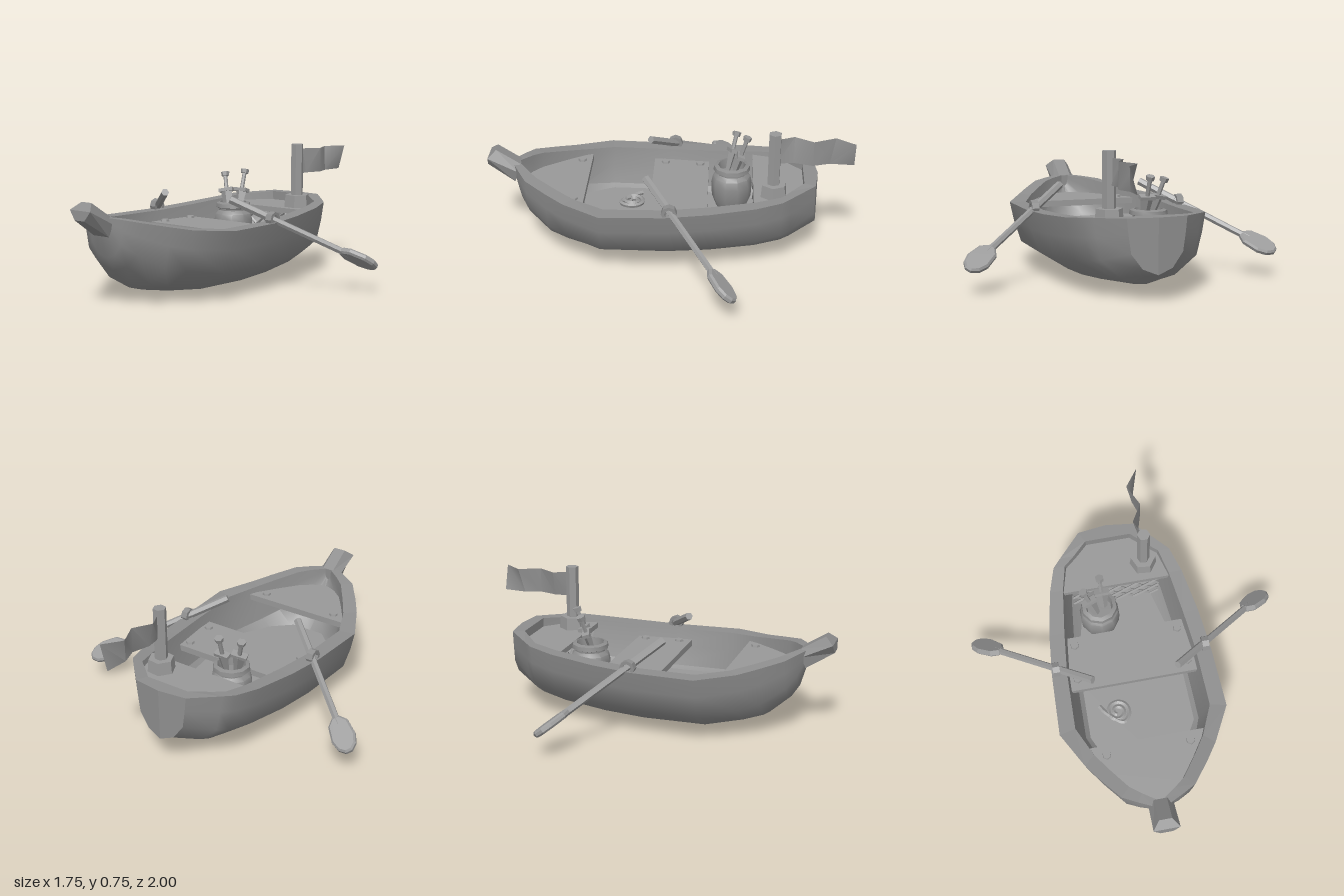
import * as THREE from 'three';
import { toCreasedNormals } from 'three/addons/utils/BufferGeometryUtils.js';

const flat = new THREE.MeshStandardMaterial({ color: 0x999999, flatShading: true });
const skin = new THREE.MeshStandardMaterial({ color: 0x8e8e8e, side: THREE.DoubleSide });
const thin = new THREE.MeshStandardMaterial({ color: 0x8e8e8e, flatShading: true, side: THREE.DoubleSide });
const V = (x, y, z) => new THREE.Vector3(x, y, z);

function add(parent, name, geo, mat = flat, pos = [0, 0, 0]) {
  const m = new THREE.Mesh(geo, mat);
  m.name = name;
  m.position.set(...pos);
  parent.add(m);
  return m;
}

// Surface through rows of points
function grid(rows) {
  const n = rows[0].length, index = [];
  for (let i = 0; i < rows.length - 1; i++)
    for (let j = 0; j < n - 1; j++) {
      const a = i * n + j, b = a + n;
      index.push(a, a + 1, b, a + 1, b + 1, b);
    }
  const g = new THREE.BufferGeometry().setFromPoints(rows.flat());
  g.setIndex(index);
  g.computeVertexNormals();
  return g;
}

// Fan of triangles from a centre point to a line of points
const fan = (c, pts) => grid([pts.map(() => c), pts]);

// Round bar between two points
function bar(parent, name, a, b, r, sides = 6) {
  const d = b.clone().sub(a);
  const m = add(parent, name, new THREE.CylinderGeometry(r, r, d.length(), sides));
  m.position.copy(a).addScaledVector(d, 0.5);
  m.quaternion.setFromUnitVectors(V(0, 1, 0), d.normalize());
}

// Horizontal board, symmetric in x, from [z, halfWidth] pairs
function board(parent, name, half, top, thick) {
  const pts = [...half, ...half.map(([z, w]) => [z, -w]).reverse()].map(([z, w]) => new THREE.Vector2(w, -z));
  const g = new THREE.ExtrudeGeometry(new THREE.Shape(pts), { depth: thick, bevelEnabled: false });
  g.rotateX(-Math.PI / 2);
  add(parent, name, g, flat, [0, top - thick, 0]);
}

// Hull stations: z, half width, rim height, keel height
const OUTER = [[-0.805, 0.16, 0.435, 0.145], [-0.67, 0.289, 0.424, 0.073], [-0.62, 0.335, 0.42, 0.06], [-0.48, 0.38, 0.405, 0.033],
  [-0.23, 0.425, 0.388, 0.009], [0, 0.45, 0.378, 0], [0.35, 0.465, 0.38, 0.008], [0.55, 0.36, 0.397, 0.045], [0.65, 0.292, 0.418, 0.072],
  [0.77, 0.2, 0.445, 0.18], [0.815, 0.12, 0.457, 0.25], [0.85, 0.05, 0.465, 0.37]];
const INNER = [[-0.745, 0.13, 0.435, 0.17], [-0.67, 0.21, 0.424, 0.13], [-0.62, 0.27, 0.42, 0.11], [-0.48, 0.305, 0.405, 0.08],
  [-0.23, 0.34, 0.388, 0.05], [0, 0.365, 0.378, 0.045], [0.33, 0.375, 0.38, 0.045], [0.5, 0.3, 0.397, 0.07], [0.6, 0.235, 0.418, 0.11],
  [0.72, 0.15, 0.445, 0.22], [0.77, 0.09, 0.457, 0.3], [0.82, 0.02, 0.465, 0.4]];
const PROFILE = [[1, 1], [0.95, 0.72], [0.86, 0.38], [0.5, 0.11], [0, 0], [-0.5, 0.11], [-0.86, 0.38], [-0.95, 0.72], [-1, 1]];
const section = ([z, w, top, keel], bulge = 0) =>
  PROFILE.map(([u, v]) => V(u * w, keel + v * (top - keel), z - bulge * (1 - Math.abs(u))));

function makeHull(root) {
  const hull = new THREE.Group();
  hull.name = 'hull';
  root.add(hull);
  const outer = OUTER.map((s, i) => section(s, i ? 0 : 0.02));
  const inner = INNER.map(s => section(s));
  add(hull, 'outerSkin', grid(outer), skin);
  add(hull, 'innerSkin', toCreasedNormals(grid(inner), 0.5), skin);
  add(hull, 'transom', fan(V(0, 0.435, -0.825), outer[0]), thin);
  add(hull, 'sternInside', fan(V(0, 0.435, -0.745), inner[0]), thin);
  add(hull, 'bowEnd', fan(V(0, 0.465, 0.85), outer.at(-1)), thin);
  // Gunwale strip running around the whole rim
  const loop = (secs, stern, bow) => {
    const side = k => secs.map(s => s.at(k));
    return [V(0, 0.465, bow), ...side(0).reverse(), V(0, 0.435, stern), ...side(-1), V(0, 0.465, bow)];
  };
  add(hull, 'gunwale', grid([loop(outer, -0.825, 0.85), loop(inner, -0.745, 0.82)]), thin);

  // Stem post: six-sided, narrow below, with a bevelled end
  const base = [[0.035, 0.468, 0.82], [0.068, 0.43, 0.83], [0.054, 0.367, 0.85]];
  const tip = [[0.035, 0.55, 0.95], [0.072, 0.512, 0.995], [0.034, 0.462, 1.0]];
  const ring = half => {
    const left = half.map(p => V(...p));
    return [...left, ...half.map(([x, y, z]) => V(-x, y, z)).reverse(), left[0]];
  };
  add(hull, 'stemPost', grid([ring(base), ring(tip)]), thin);
  add(hull, 'stemPostEnd', fan(V(0, 0.512, 0.995), ring(tip)), thin);
}

function makeDecks(root) {
  board(root, 'floor', [[-0.7, 0.12], [-0.47, 0.24], [0, 0.295], [0.33, 0.31], [0.45, 0.26], [0.6, 0.1]], 0.155, 0.02);
  board(root, 'sternDeck', [[-0.745, 0.135], [-0.62, 0.275], [-0.47, 0.31]], 0.385, 0.03);
  board(root, 'middleBench', [[-0.22, 0.345], [0.095, 0.37]], 0.32, 0.035);
  board(root, 'bowDeck', [[0.45, 0.33], [0.5, 0.305], [0.61, 0.23], [0.72, 0.152], [0.82, 0.02]], 0.362, 0.035);
  for (const s of [1, -1])
    for (const [x, y, z] of [[0.295, 0.324, -0.17], [0.312, 0.324, 0.03], [0.232, 0.366, 0.505]])
      add(root, 'bolt', new THREE.CylinderGeometry(0.023, 0.026, 0.016, 6), flat, [s * x, y, z]);

  // Diagonal lattice below the front edge of the stern deck
  const lattice = new THREE.Group();
  lattice.name = 'sternLattice';
  root.add(lattice);
  const lim = 0.25, run = 0.26, y0 = 0.15, y1 = 0.36;
  for (const s of [1, -1])
    for (let c = -0.5; c <= 0.5; c += 0.1) {
      const t = [(-lim - c) / (s * run), (lim - c) / (s * run)].sort((a, b) => a - b);
      const a = Math.max(0, t[0]), b = Math.min(1, t[1]);
      if (b - a < 0.1) continue;
      const p = k => V(c + s * run * k, y0 + (y1 - y0) * k, -0.484 + s * 0.004);
      bar(lattice, 'slat', p(a), p(b), 0.008, 4);
    }
}

function makeOar(root, s) {
  const oar = new THREE.Group();
  oar.name = s > 0 ? 'leftOar' : 'rightOar';
  const d = V(s * 0.625, -0.36, -0.475), length = d.length();
  d.normalize();
  const n = V(0, 0.475, -0.36).normalize(), w = n.clone().cross(d);
  oar.quaternion.setFromRotationMatrix(new THREE.Matrix4().makeBasis(d, w, n));
  oar.position.set(s * 0.235, 0.5, 0.112);
  root.add(oar);
  bar(oar, 'handle', V(0, 0, 0), V(0.23, 0, 0), 0.022);
  bar(oar, 'shaft', V(0.2, 0, 0), V(length - 0.16, 0, 0), 0.019);
  const half = [[0, 0.02], [0.04, 0.055], [0.13, 0.066], [0.185, 0.05], [0.215, 0.018]];
  const pts = [...half, ...half.map(([u, v]) => [u, -v]).reverse()].map(p => new THREE.Vector2(...p));
  const blade = new THREE.ExtrudeGeometry(new THREE.Shape(pts),
    { depth: 0.016, bevelThickness: 0.01, bevelSize: 0.01, bevelOffset: -0.01, bevelSegments: 1 });
  add(oar, 'blade', blade, flat, [length - 0.21, 0, -0.008]);
  // Square-edged oarlock ring standing on the rim
  const edge = [[0.024, -0.019], [0.042, -0.019], [0.042, 0.019], [0.024, 0.019], [0.024, -0.019]].map(p => new THREE.Vector2(...p));
  add(root, 'oarlock', new THREE.LatheGeometry(edge, 8).rotateZ(Math.PI / 2), thin, [s * 0.421, 0.395, -0.022]);
}

function makeBarrel(root) {
  const barrel = new THREE.Group();
  barrel.name = 'barrel';
  barrel.position.set(-0.12, 0, -0.352);
  root.add(barrel);
  const pts = [[0, 0.155], [0.085, 0.155], [0.11, 0.22], [0.115, 0.3], [0.106, 0.345], [0.085, 0.365], [0.085, 0.375], [0.104, 0.382],
    [0.1, 0.405], [0.078, 0.412], [0.07, 0.36], [0, 0.36]].map(p => new THREE.Vector2(...p));
  add(barrel, 'barrelBody', toCreasedNormals(new THREE.LatheGeometry(pts, 10), 0.7), skin);
  // Two swords standing hilt-up in the barrel
  for (const [foot, top, yaw] of [[V(0.03, 0.33, 0.0), V(0.02, 0.595, -0.085), 0], [V(-0.01, 0.33, 0.03), V(-0.083, 0.577, -0.025), 0.3]]) {
    const sword = new THREE.Group();
    sword.name = 'sword';
    sword.position.copy(foot);
    const dir = top.clone().sub(foot), len = dir.length();
    sword.quaternion.setFromUnitVectors(V(0, 1, 0), dir.normalize());
    barrel.add(sword);
    const blade = new THREE.CylinderGeometry(0.045, 0.02, 0.15, 4).scale(0.8, 1, 0.5);
    add(sword, 'blade', blade, flat, [0, 0.075, 0]).rotation.y = yaw;
    add(sword, 'guard', new THREE.BoxGeometry(0.085, 0.02, 0.04), flat, [0, 0.155, 0]).rotation.y = yaw;
    bar(sword, 'grip', V(0, 0.15, 0), V(0, len - 0.02, 0), 0.012);
    add(sword, 'pommel', new THREE.CylinderGeometry(0.025, 0.022, 0.024, 6), flat, [0, len - 0.012, 0]);
  }
}

function makeFlag(root) {
  add(root, 'flagBase', new THREE.CylinderGeometry(0.07, 0.077, 0.075, 6).rotateY(0.42), flat, [0.175, 0.418, -0.577]);
  add(root, 'flagPole', new THREE.CylinderGeometry(0.036, 0.036, 0.37, 6).rotateY(0.42), flat, [0.175, 0.565, -0.575]);
  const top = [[0.175, -0.59], [0.135, -0.68], [0.195, -0.78], [0.14, -0.9], [0.215, -1]];
  const low = [[0.175, -0.59], [0.165, -0.68], [0.195, -0.78], [0.165, -0.87], [0.175, -1]];
  const cloth = grid([top.map(([x, z]) => V(x, 0.715, z)), low.map(([x, z]) => V(x, 0.575, z))]);
  add(root, 'flag', toCreasedNormals(cloth, 0.9), skin);
}

function makeRope(root) {
  const pts = [];
  for (let i = 0; i <= 18; i++) {
    const a = 1.9 + i * 0.66, r = 0.016 + 0.003 * i;
    pts.push(V(-0.12 + r * Math.cos(a), 0.168, 0.21 + r * Math.sin(a)));
  }
  pts.push(V(-0.19, 0.168, 0.2), V(-0.215, 0.168, 0.16));
  add(root, 'ropeCoil', new THREE.TubeGeometry(new THREE.CatmullRomCurve3(pts), 60, 0.013, 5));
}

export function createModel() {
  const root = new THREE.Group();
  root.name = 'rowingBoat';
  makeHull(root);
  makeDecks(root);
  makeOar(root, 1);
  makeOar(root, -1);
  makeBarrel(root);
  makeFlag(root);
  makeRope(root);
  return root;
}
